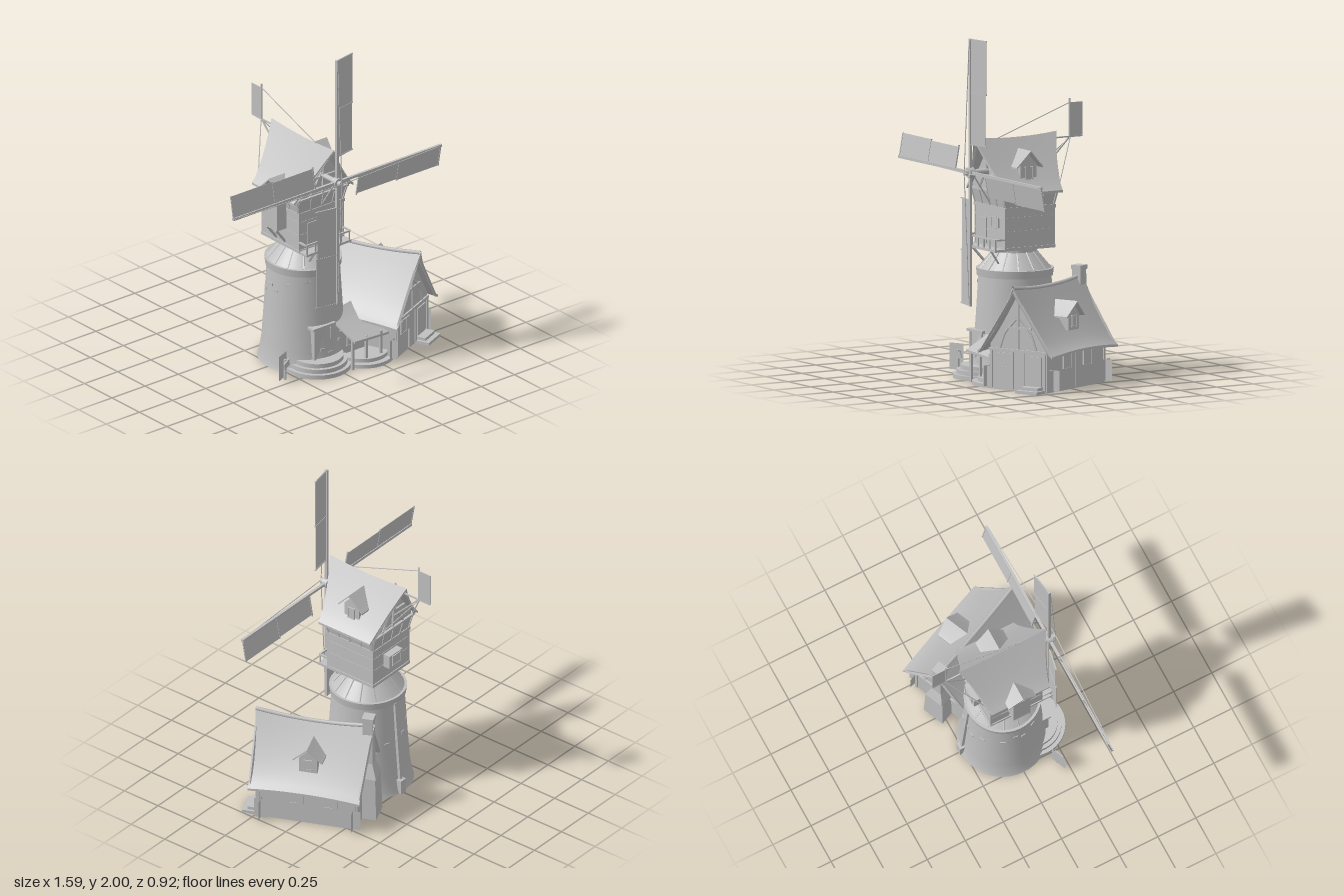
import * as THREE from 'three';

const gray = new THREE.MeshStandardMaterial({ color: 0xc0c0c0, side: THREE.DoubleSide });
gray.name = 'clay gray';

function add(parent, name, geo, x = 0, y = 0, z = 0) {
  const m = new THREE.Mesh(geo, gray);
  m.name = name;
  m.position.set(x, y, z);
  parent.add(m);
  return m;
}
const box = (p, name, w, h, d, x, y, z) => add(p, name, new THREE.BoxGeometry(w, h, d), x, y, z);
function group(parent, name, x = 0, y = 0, z = 0, ry = 0) {
  const g = new THREE.Group();
  g.name = name;
  g.position.set(x, y, z);
  g.rotation.y = ry;
  parent.add(g);
  return g;
}
// square timber (or thin rope) between two points
function beam(p, name, a, b, t = 0.014) {
  const A = new THREE.Vector3(...a), B = new THREE.Vector3(...b);
  const m = add(p, name, new THREE.BoxGeometry(t, t, A.distanceTo(B)));
  m.position.copy(A).add(B).multiplyScalar(0.5);
  m.quaternion.setFromUnitVectors(new THREE.Vector3(0, 0, 1), B.sub(A).normalize());
}
// round layer with a top and an open underside
function drum(p, name, r1, r0, y0, y1, x = 0, z = 0) {
  add(p, name, new THREE.CylinderGeometry(r1, r0, y1 - y0, 40, 1, true), x, (y0 + y1) / 2, z);
  add(p, name + 'Top', new THREE.CircleGeometry(r1, 40).rotateX(-Math.PI / 2), x, y1, z);
}
// four-sided taper with flat faces, from half width h0 up to h1
function taper(p, name, h1, h0, y0, y1, z = 0) {
  const geo = new THREE.CylinderGeometry(h1 * Math.SQRT2, h0 * Math.SQRT2, y1 - y0, 4).toNonIndexed();
  geo.rotateY(Math.PI / 4);
  geo.computeVertexNormals();
  add(p, name, geo, 0, (y0 + y1) / 2, z);
}

// curved gable roof, ridge along z: W half width, R/E ridge and eave heights, LR/LE half lengths
const roofY = (o, u) => o.E + (o.R - o.E) * Math.pow(Math.max(0, 1 - u), o.p);
function roof(p, name, o) {
  for (const s of [1, -1]) {
    const geo = new THREE.BoxGeometry(1, o.t, 1, 8, 1, 10), a = geo.attributes.position;
    for (let i = 0; i < a.count; i++) {
      const x = a.getX(i) + s * 0.5, u = Math.abs(x), v = a.getZ(i) * 2, mid = 1 - v * v;
      const half = o.LE + (o.LR - o.LE) * Math.pow(1 - u, 1.2) - o.bow * 4 * u * (1 - u);
      a.setXYZ(i, x * o.W,
        roofY(o, u) + a.getY(i) - o.sag * mid * (1 - u) + o.lift * mid * u, v * half);
    }
    geo.computeVertexNormals();
    add(p, name, geo);
  }
}
// wall panel or block whose top follows the roof
function gableBlock(p, name, o, hw, base, depth, z = 0) {
  const s = new THREE.Shape();
  s.moveTo(-hw, base);
  s.lineTo(hw, base);
  for (let i = 8; i >= -8; i--) {
    const x = (hw * i) / 8;
    s.lineTo(x, roofY(o, Math.abs(x) / o.W) - 0.018 - o.sag * 0.5 * (1 - Math.abs(i) / 8));
  }
  add(p, name, new THREE.ExtrudeGeometry(s, { depth, bevelEnabled: false }), 0, 0, z - depth / 2);
}
// framed window facing +z
function windowUnit(p, x, y, z, w, h, shutters) {
  const g = group(p, 'window', x, y, z);
  box(g, 'pane', w, h, 0.006, 0, 0, 0);
  for (const s of [-1, 1]) {
    box(g, 'windowFrameSide', 0.005, h + 0.01, 0.012, s * w / 2, 0, 0);
    box(g, 'windowFrameRail', w + 0.01, 0.005, 0.012, 0, s * h / 2, 0);
    if (shutters) box(g, 'shutter', w * 0.5, h, 0.009, s * w * 0.8, 0, 0.002);
  }
}
// dormer facing +z, front at local z = 0
function dormer(p, x, y, z, ry, base, eave, peak, depth) {
  const g = group(p, 'dormer', x, y, z, ry);
  const o = { W: 0.09, R: peak, E: eave, LR: depth / 2 + 0.012, LE: depth / 2, p: 1.05, t: 0.01, sag: 0, lift: 0, bow: 0 };
  const inner = group(g, 'dormerBody', 0, 0, -depth / 2);
  roof(inner, 'dormerRoof', o);
  gableBlock(inner, 'dormerWall', o, 0.055, base, depth - 0.03);
  windowUnit(inner, 0, (base + eave) / 2 + 0.012, depth / 2 - 0.013, 0.045, (eave - base) * 0.75, false);
}

function buildTower(root) {
  const t = group(root, 'tower', -0.015, 0, 0);
  const prof = [[0.268, 0], [0.258, 0.03], [0.244, 0.12], [0.228, 0.35], [0.213, 0.6]].map(q => new THREE.Vector2(...q));
  add(t, 'towerWall', new THREE.LatheGeometry(prof, 40));
  drum(t, 'towerRim', 0.227, 0.222, 0.595, 0.64);
  drum(t, 'towerCone', 0.12, 0.212, 0.64, 0.745);
  drum(t, 'collar', 0.128, 0.128, 0.735, 0.765);
  for (let i = 0; i < 14; i++) {
    const a = (i / 14) * Math.PI * 2, c = Math.cos(a), s = Math.sin(a);
    beam(t, 'coneRib', [0.21 * c, 0.64, 0.21 * s], [0.122 * c, 0.742, 0.122 * s], 0.007);
  }
  // scattered stones around the wall
  for (let i = 0; i < 18; i++) {
    const a = i * 2.4, y = 0.1 + ((i * 7) % 18) * 0.027, r = 0.25 - 0.065 * y;
    box(t, 'wallStone', 0.03, 0.016, 0.01, Math.sin(a) * r, y, Math.cos(a) * r).rotation.y = a;
  }
  beam(t, 'rearPost', [0.02, 0, -0.262], [0.02, 0.6, -0.215], 0.018);
  box(t, 'rearPostFoot', 0.045, 0.09, 0.035, 0.02, 0.045, -0.262);
  // entrance with round steps
  for (let i = 0; i < 3; i++) drum(t, 'roundStep', 0.198 - i * 0.022, 0.198 - i * 0.022, 0, 0.026 * (i + 1), -0.035, 0.17);
  box(t, 'door', 0.11, 0.19, 0.03, -0.045, 0.17, 0.218);
  for (const s of [-1, 1]) box(t, 'doorJamb', 0.014, 0.2, 0.04, -0.045 + s * 0.062, 0.17, 0.222);
  box(t, 'doorLintel', 0.17, 0.016, 0.055, -0.045, 0.275, 0.222);
}

function buildCap(root) {
  const c = group(root, 'millCap', -0.018, 0, 0);
  box(c, 'capBody', 0.335, 0.26, 0.335, 0, 0.89, 0);
  for (const [y, h, w] of [[0.77, 0.018, 0.346], [0.87, 0.01, 0.34], [0.95, 0.01, 0.34], [1.005, 0.02, 0.348]])
    box(c, 'bandTimber', w, h, w, 0, y, 0);
  taper(c, 'flaredStorey', 0.187, 0.167, 1.005, 1.105);
  for (let k = 0; k < 4; k++) {
    const side = group(c, 'capSide', 0, 0, 0, k * Math.PI / 2);
    for (let i = -2; i <= 2; i++) beam(side, 'flareStud', [i * 0.08, 1.01, 0.167], [i * 0.088, 1.1, 0.187], 0.01);
    for (const s of [-1, 1]) box(side, 'cornerPost', 0.012, 0.25, 0.012, s * 0.164, 0.89, 0.164);
    box(side, 'topPlate', 0.38, 0.012, 0.012, 0, 1.1, 0.185);
  }
  const o = { W: 0.225, R: 1.408, E: 1.095, LR: 0.285, LE: 0.19, sag: 0.015, lift: 0, bow: 0.008, p: 1.15, t: 0.014 };
  roof(c, 'capRoof', o);
  gableBlock(c, 'capGable', o, 0.18, 1.08, 0.35);
  for (const s of [-1, 1]) {
    for (const e of [-1, 1]) {
      beam(c, 'gableRafter', [e * 0.19, 1.11, s * 0.19], [0, 1.38, s * 0.26], 0.013);
      beam(c, 'gableBrace', [e * 0.1, 1.1, s * 0.18], [e * 0.01, 1.24, s * 0.18], 0.01);
    }
    beam(c, 'gablePost', [0, 1.1, s * 0.18], [0, 1.38, s * 0.2], 0.012);
    beam(c, 'gableTie', [-0.11, 1.21, s * 0.18], [0.11, 1.21, s * 0.18], 0.012);
  }
  // dormers and side oriel
  dormer(c, 0.17, 0, 0, Math.PI / 2, 1.15, 1.24, 1.335, 0.12);
  dormer(c, -0.245, 0, 0, -Math.PI / 2, 1.0, 1.12, 1.2, 0.12);
  box(c, 'oriel', 0.08, 0.25, 0.11, -0.2, 1.005, 0);
  for (const s of [-1, 1]) beam(c, 'orielStrut', [-0.235, 0.88, s * 0.04], [-0.165, 0.79, s * 0.04], 0.011);
  // rear window box and front openings
  box(c, 'rearWindowBox', 0.12, 0.085, 0.05, 0.01, 0.902, -0.19);
  const back = group(c, 'rearOpening', 0, 0, 0, Math.PI);
  windowUnit(back, -0.01, 0.905, 0.215, 0.07, 0.06, false);
  windowUnit(c, 0.05, 0.92, 0.169, 0.05, 0.06, true);
  box(c, 'balconyDoor', 0.07, 0.15, 0.01, -0.07, 0.86, 0.168);
  // balcony
  box(c, 'balconyFloor', 0.34, 0.014, 0.075, 0, 0.765, 0.2);
  beam(c, 'balconyRail', [-0.165, 0.828, 0.23], [0.165, 0.828, 0.23], 0.01);
  for (let i = 0; i < 6; i++) box(c, 'baluster', 0.008, 0.06, 0.008, -0.16 + i * 0.064, 0.798, 0.23);
  for (const s of [-1, 1]) {
    beam(c, 'balconySideRail', [s * 0.165, 0.828, 0.23], [s * 0.165, 0.828, 0.165], 0.01);
    beam(c, 'balconyBracket', [s * 0.1, 0.76, 0.225], [s * 0.08, 0.68, 0.16], 0.011);
  }
  // tail vane with boom, struts and stay
  box(c, 'vane', 0.004, 0.2, 0.09, 0, 1.475, -0.418);
  beam(c, 'vanePole', [0, 1.36, -0.375], [0, 1.6, -0.375], 0.008);
  beam(c, 'vaneBoom', [0, 1.375, -0.2], [0, 1.375, -0.46], 0.008);
  beam(c, 'vaneStay', [0, 1.575, -0.375], [0, 1.4, 0.12], 0.004);
  beam(c, 'vaneStrut', [0, 1.37, -0.37], [0, 1.18, -0.18], 0.008);
  for (const s of [-1, 1]) beam(c, 'vaneSideStrut', [0, 1.375, -0.38], [s * 0.17, 1.13, -0.2], 0.005);
}

function buildSails(root) {
  const hub = group(root, 'sails', -0.013, 1.215, 0.306);
  const shaft = add(hub, 'shaft', new THREE.CylinderGeometry(0.016, 0.016, 0.24, 12), 0, 0, -0.08);
  shaft.rotation.x = Math.PI / 2;
  const boss = add(hub, 'hub', new THREE.CylinderGeometry(0.03, 0.03, 0.035, 16));
  boss.rotation.x = Math.PI / 2;
  beam(hub, 'shaftBrace', [0, 0, -0.01], [0, -0.195, -0.14], 0.007);
  for (let k = 0; k < 4; k++) {
    const arm = group(hub, 'sailArm');
    arm.rotation.z = -k * Math.PI / 2;
    box(arm, 'spar', 0.016, 0.785, 0.016, 0, 0.3925, 0);
    const cloth = group(arm, 'sailCloth', 0, 0, 0, 0.18);
    box(cloth, 'outerCanvas', 0.139, 0.32, 0.003, 0.0695, 0.625, 0);
    box(cloth, 'innerCanvas', 0.131, 0.305, 0.003, 0.0655, 0.315, 0);
    for (const y of [0.165, 0.468, 0.78]) box(cloth, 'batten', 0.141, 0.007, 0.008, 0.0705, y, 0);
    beam(arm, 'stayRope', [0, 0.775, 0.008], [0, 0, 0.042], 0.004);
  }
}

function buildHouse(root) {
  const h = group(root, 'house', 0.42, 0, 0.045, 0.412);
  const o = { W: 0.264, R: 0.608, E: 0.215, LR: 0.36, LE: 0.337, sag: 0.025, lift: 0.018, bow: 0.015, p: 1.25, t: 0.014 };
  roof(h, 'houseRoof', o);
  const ridge = [-1, -0.5, 0, 0.5, 1].map(v => new THREE.Vector3(0, 0.61 - 0.025 * (1 - v * v), v * 0.355));
  add(h, 'ridgeCap', new THREE.TubeGeometry(new THREE.CatmullRomCurve3(ridge), 16, 0.012, 6));
  // hollow body with timber framed gables
  for (const s of [-1, 1]) {
    const z = s * 0.301;
    gableBlock(h, 'gableWall', o, 0.196, 0, 0.012, s * 0.293);
    box(h, 'gableBeam', 0.41, 0.016, 0.016, 0, 0.235, z);
    box(h, 'gableTie', 0.19, 0.012, 0.012, 0, 0.37, z);
    box(h, 'kingPost', 0.014, 0.31, 0.012, 0, 0.4, z);
    for (const e of [-1, 1]) {
      beam(h, 'bargeBoard', [e * 0.245, 0.225, s * 0.328], [0, 0.58, s * 0.345], 0.014);
      const curve = [[0.13, 0.24], [0.09, 0.34], [0.015, 0.42]].map(q => new THREE.Vector3(e * q[0], q[1], z));
      add(h, 'curvedBrace', new THREE.TubeGeometry(new THREE.CatmullRomCurve3(curve), 8, 0.007, 4));
      for (const x of [0.04, 0.188]) box(h, 'wallPost', 0.014, 0.22, 0.014, e * x, 0.12, z);
    }
    // side wall with two shuttered windows
    const side = group(h, 'houseSide', 0, 0, 0, s * Math.PI / 2);
    box(side, 'sideWall', 0.59, 0.265, 0.012, 0, 0.1325, 0.19);
    for (const x of [-0.29, 0, 0.29]) box(side, 'sidePost', 0.014, 0.23, 0.012, s * x, 0.125, 0.195);
    for (const x of [-0.075, 0.13]) windowUnit(side, s * x, 0.17, 0.199, 0.055, 0.085, true);
  }
  // front door, window, steps
  box(h, 'houseDoor', 0.1, 0.18, 0.01, 0.115, 0.12, 0.301);
  windowUnit(h, -0.1, 0.175, 0.301, 0.05, 0.08, true);
  box(h, 'lowerStep', 0.15, 0.018, 0.09, 0.115, 0.009, 0.345);
  box(h, 'upperStep', 0.12, 0.036, 0.06, 0.115, 0.018, 0.33);
  dormer(h, 0.195, 0, -0.005, Math.PI / 2, 0.34, 0.42, 0.505, 0.14);
  // chimney stack on the rear gable
  taper(h, 'chimneyBase', 0.062, 0.07, 0, 0.27, -0.315);
  taper(h, 'chimneyShoulder', 0.032, 0.062, 0.27, 0.36, -0.32);
  taper(h, 'chimneyShaft', 0.029, 0.032, 0.36, 0.655, -0.322);
  taper(h, 'chimneyCap', 0.035, 0.035, 0.645, 0.67, -0.322);
}

function buildPorch(root) {
  const p = group(root, 'porch');
  drum(p, 'porchFloor', 0.18, 0.18, 0, 0.022, 0.24, 0.24);
  drum(p, 'porchStep', 0.155, 0.155, 0.02, 0.045, 0.24, 0.23);
  // sloping roof bridging tower and house
  const geo = new THREE.BoxGeometry(1, 0.014, 1, 8, 1, 6), a = geo.attributes.position;
  for (let i = 0; i < a.count; i++) {
    const u = a.getX(i) + 0.5, v = a.getZ(i) + 0.5;
    a.setXYZ(i, 0.03 + v * 0.03 + u * (0.26 + 0.03 * v), 0.3 - 0.115 * Math.pow(v, 0.8) - 0.03 * u * v + a.getY(i),
      0.17 - 0.06 * u + v * (0.21 + 0.03 * u));
  }
  geo.computeVertexNormals();
  add(p, 'porchRoof', geo);
  box(p, 'porchWall', 0.25, 0.2, 0.012, 0.19, 0.1, 0.22);
  for (const x of [0.07, 0.17, 0.28]) box(p, 'porchPost', 0.014, 0.19, 0.014, x, 0.095, 0.35);
  windowUnit(p, 0.15, 0.13, 0.23, 0.05, 0.07, false);
}

// crossed foliage cards
function shrub(root, x, z, w, h, ry) {
  const g = group(root, 'shrub', x, 0.012, z, ry);
  for (const r of [0, Math.PI / 2]) add(g, 'foliageCard', new THREE.PlaneGeometry(w, h), 0, h / 2, 0).rotation.y = r;
}

export function createModel() {
  const root = new THREE.Group();
  root.name = 'windmillWithCottage';
  buildTower(root);
  buildCap(root);
  buildSails(root);
  buildHouse(root);
  buildPorch(root);
  shrub(root, 0.735, 0.2, 0.08, 0.125, 0.41);
  shrub(root, 0.5, -0.3, 0.09, 0.125, 0.41);
  shrub(root, 0.325, 0.4, 0.06, 0.12, 0.41);
  // small sign beside the tower
  const sign = group(root, 'sign', -0.335, 0, 0.2, 0.4);
  add(sign, 'signSheet', new THREE.PlaneGeometry(0.1, 0.155), 0, 0.09, 0);
  box(sign, 'signPost', 0.012, 0.13, 0.012, 0.015, 0.065, 0.008);
  box(sign, 'signBoard', 0.06, 0.04, 0.008, 0.015, 0.1, 0.018).rotation.z = 0.2;
  return root;
}
